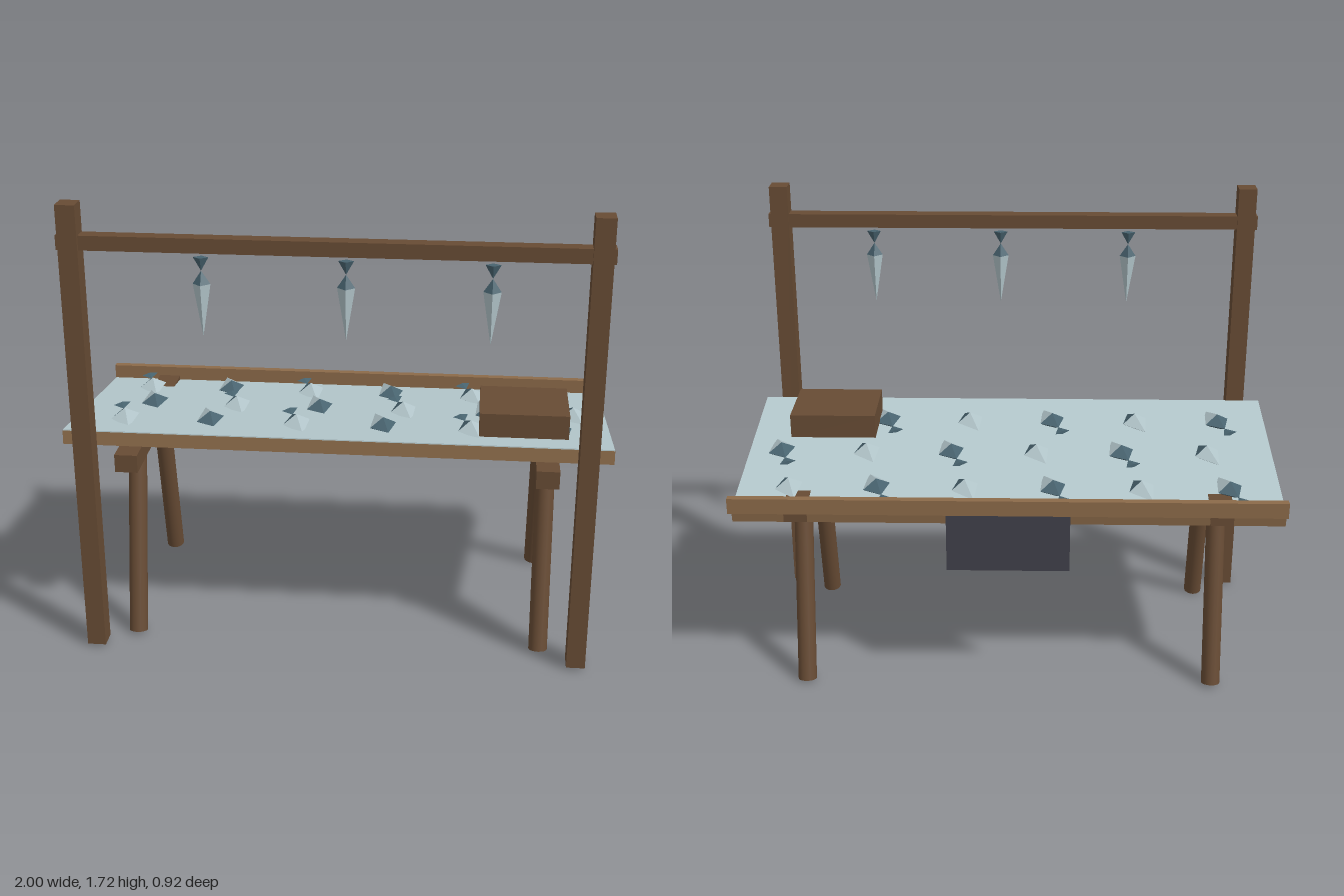
import * as THREE from 'three';

const paint = (name, color) => Object.assign(new THREE.MeshStandardMaterial({ color }), { name });

export function createModel() {
  const model = new THREE.Group();
  model.name = 'fishStall';

  const darkWood = paint('darkWood', 0x674b34);
  const lightWood = paint('lightWood', 0x8b6a49);
  const ice = paint('ice', 0xb4c8cc);
  const fishPale = paint('fishPale', 0xb2c5ca);
  const fishBlue = paint('fishBlue', 0x48636f);
  const slate = paint('slate', 0x40404a);
  slate.side = THREE.DoubleSide;

  const add = (parent, name, geometry, material, x = 0, y = 0, z = 0) => {
    const mesh = new THREE.Mesh(geometry, material);
    mesh.name = name;
    mesh.position.set(x, y, z);
    parent.add(mesh);
    return mesh;
  };
  const box = (parent, name, material, size, pos) =>
    add(parent, name, new THREE.BoxGeometry(...size), material, ...pos);

  // Four-sided faceted cone running from y0 (radius r0) to y1 (radius r1)
  const facetCone = (y0, r0, y1, r1, depth = 1) => {
    const g = new THREE.CylinderGeometry(r1, r0, y1 - y0, 4)
      .translate(0, (y0 + y1) / 2, 0)
      .scale(1, 1, depth)
      .toNonIndexed();
    g.computeVertexNormals();
    return g;
  };

  // Sloping table top with its ice sheet, higher at the front
  const slope = 0.137;
  const iceY = (z) => 0.803 + slope * (z + 0.03);
  const top = new THREE.Group();
  top.name = 'tableTop';
  top.position.set(-0.003, 0.803, -0.03);
  top.rotation.x = -Math.atan(slope);
  model.add(top);
  box(top, 'board', lightWood, [1.99, 0.05, 0.81], [0, -0.029, 0]);
  box(top, 'iceSheet', ice, [1.988, 0.004, 0.808], [0, -0.002, 0]);
  box(model, 'backLip', lightWood, [2, 0.058, 0.028], [0, 0.772, -0.446]);

  // Trestles: cross beam and two splayed round legs at each end
  for (const x of [-0.77, 0.763]) {
    box(model, 'trestleBeam', darkWood, [0.084, 0.068, 0.805], [x, 0.731, -0.028]);
    for (const [footZ, headZ] of [[0.334, 0.184], [-0.384, -0.234]]) {
      const foot = new THREE.Vector3(x, 0.008, footZ);
      const head = new THREE.Vector3(x, 0.705, headZ);
      const dir = head.clone().sub(foot);
      const leg = add(model, 'leg', new THREE.CylinderGeometry(0.035, 0.035, dir.length(), 16), darkWood);
      leg.position.copy(foot).add(head).multiplyScalar(0.5);
      leg.quaternion.setFromUnitVectors(new THREE.Vector3(0, 1, 0), dir.normalize());
    }
  }

  // Hanging frame at the front
  for (const x of [-0.904, 0.898]) {
    box(model, 'post', darkWood, [0.069, 1.71, 0.073], [x, 0.865, 0.422]);
  }
  box(model, 'hangingRail', darkWood, [1.89, 0.052, 0.054], [-0.003, 1.586, 0.42]);

  // Fish hanging nose down below the rail
  for (const x of [-0.454, 0.043, 0.538]) {
    const fish = new THREE.Group();
    fish.name = 'hangingFish';
    fish.position.set(x, 0, 0.42);
    add(fish, 'body', facetCone(1.255, 0, 1.445, 0.031, 0.9), fishPale);
    add(fish, 'rear', facetCone(1.445, 0.031, 1.492, 0, 0.9), fishBlue);
    add(fish, 'tail', facetCone(1.492, 0, 1.54, 0.027, 0.7), fishBlue);
    model.add(fish);
  }

  // Fish half sunk in the ice, alternately nose to the back and nose to the front
  const headGeo = facetCone(0, 1, 1, 0);
  const rearGeo = facetCone(-0.65, 0, 0, 1);
  const tailGeo = facetCone(-1.08, 0.6, -0.62, 0, 0.35);
  const rows = [[-0.291, -0.81, 0], [-0.047, -0.748, 1], [0.185, -0.81, 0]];
  for (const [z, x0, parity] of rows) {
    for (let i = 0; i < 6; i++) {
      const dir = (i + parity) % 2 ? 1 : -1;
      const fish = new THREE.Group();
      fish.name = 'fishOnIce';
      add(fish, 'head', headGeo, fishPale);
      add(fish, 'rear', rearGeo, fishBlue);
      add(fish, 'tail', tailGeo, fishBlue);
      // Skewed axes: width, length and height of the flattened body
      const basis = new THREE.Matrix4().makeBasis(
        new THREE.Vector3(0.046 * dir, 0, -0.032 * dir),
        new THREE.Vector3(-0.037 * dir, 0, -0.108 * dir),
        new THREE.Vector3(0, 0.032, 0)
      );
      fish.matrixAutoUpdate = false;
      fish.matrix.copy(basis).setPosition(x0 + 0.323 * i, iceY(z) + 0.009, z);
      model.add(fish);
    }
  }

  // Crate on the ice and price board hanging below the back lip
  box(model, 'crate', darkWood, [0.323, 0.09, 0.272], [0.674, 0.89, 0.13]);
  add(model, 'priceBoard', new THREE.PlaneGeometry(0.446, 0.23), slate, -0.003, 0.63, -0.445);

  return model;
}
